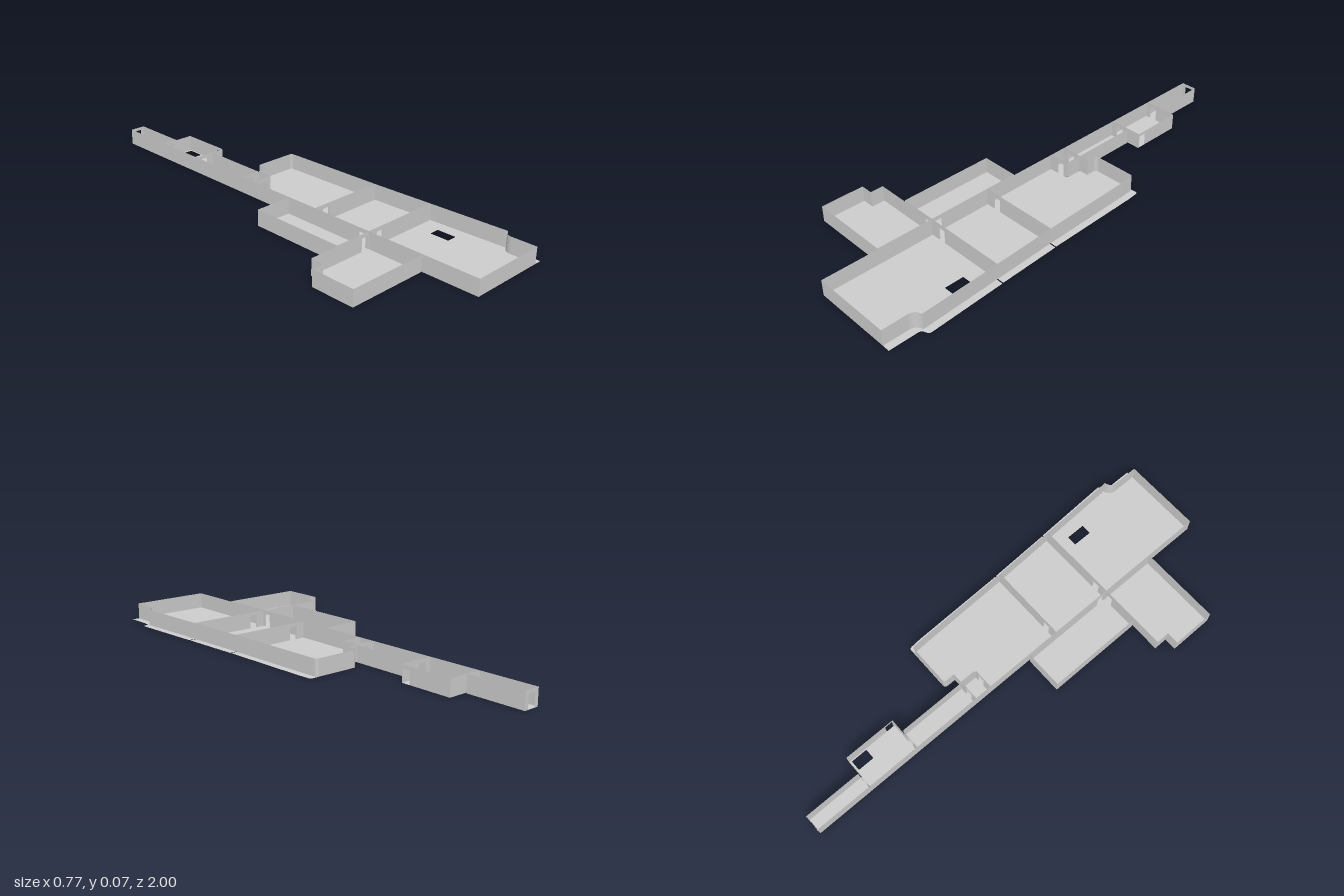
import * as THREE from 'three';

const H = 0.07;        // wall height
const GAP = 0.0025;    // half the thickness of a partition
const DOOR_H = 0.056;
const mat = new THREE.MeshStandardMaterial({ color: 0xcccccc, side: THREE.DoubleSide, flatShading: true });

export function createModel() {
  const model = new THREE.Group();

  const add = (geo, name, parent = model) => {
    const mesh = new THREE.Mesh(geo, mat);
    mesh.name = name;
    parent.add(mesh);
    return mesh;
  };
  const rect = (x0, z0, x1, z1) => [[x0, z0], [x1, z0], [x1, z1], [x0, z1]];
  const vectors = pts => pts.map(p => new THREE.Vector2(p[0], p[1]));

  // flat floor slab from an outline in x, z
  const floor = (name, pts, hole) => {
    const shape = new THREE.Shape(vectors(pts));
    if (hole) shape.holes.push(new THREE.Path(vectors(hole)));
    add(new THREE.ShapeGeometry(shape).rotateX(Math.PI / 2), name);
  };

  // one upright sheet in local x, y with optional door opening [start, end]
  const sheet = (length, door) => {
    let pts = [[0, 0]];
    if (door) pts.push([door[0], 0], [door[0], DOOR_H], [door[1], DOOR_H], [door[1], 0]);
    pts.push([length, 0], [length, H], [0, H]);
    return new THREE.ShapeGeometry(new THREE.Shape(vectors(pts)));
  };

  // wall from a to b; thick ones are two sheets joined by the door reveal
  const wall = (name, a, b, door, thick = false) => {
    const group = new THREE.Group();
    const length = Math.hypot(b[0] - a[0], b[1] - a[1]);
    group.name = name;
    group.position.set(a[0], 0, a[1]);
    group.rotation.y = -Math.atan2(b[1] - a[1], b[0] - a[0]);
    for (const off of thick ? [-GAP, GAP] : [0]) add(sheet(length, door), 'wallSheet', group).position.z = off;
    if (thick && door) {
      const w = door[1] - door[0], mid = (door[0] + door[1]) / 2;
      for (const x of door) {
        add(new THREE.PlaneGeometry(2 * GAP, DOOR_H).rotateY(Math.PI / 2), 'doorJamb', group)
          .position.set(x, DOOR_H / 2, 0);
      }
      for (const y of [0, DOOR_H]) {
        add(new THREE.PlaneGeometry(w, 2 * GAP).rotateX(-Math.PI / 2), y ? 'doorHead' : 'threshold', group)
          .position.set(mid, y, 0);
      }
    }
    model.add(group);
  };
  const run = (name, pts) => pts.slice(1).forEach((p, i) => wall(name, pts[i], p));

  // rounded corner as a short list of points
  const bend = (a, c, b) => new THREE.QuadraticBezierCurve(...vectors([a, c, b])).getPoints(6).map(p => [p.x, p.y]);

  const W = -0.026;      // west face of the main range
  const D = 0.034;       // door width
  const doorAt = c => [c - D / 2, c + D / 2];

  // floors of the main range, projecting beyond the east wall
  floor('frontHallFloor', [
    [W, 0.508], [0.365, 0.508], [0.38, 0.835],
    ...bend([0.38, 0.85], [0.375, 0.857], [0.365, 0.86]),
    ...bend([0.36, 0.862], [0.35, 0.865], [0.35, 0.88]), [0.35, 1], [W, 1],
  ], rect(0.24, 0.585, 0.285, 0.67));
  floor('middleHallFloor', [[W, 0.228], [0.353, 0.228], [0.364, 0.503], [W, 0.503]]);
  floor('backHallFloor', [
    [W, -0.128], [0.055, -0.128], [0.067, -0.14], [0.067, -0.205], [0.11, -0.205],
    ...bend([0.11, -0.24], [0.11, -0.257], [0.125, -0.257]),
    ...bend([0.33, -0.257], [0.34, -0.257], [0.34, -0.24]), [0.343, -0.2], [0.352, 0.223], [W, 0.223],
  ]);

  // floors of the passage and side rooms
  floor('vestibuleFloor', rect(W, -0.203, 0.062, -0.133));
  floor('passageFloor', rect(W, -0.507, 0.063, -0.208));
  floor('smallRoomFloor', rect(W, -0.743, 0.123, -0.512), rect(0.073, -0.733, 0.118, -0.66));
  floor('endPassageFloor', rect(W, -1, 0.043, -0.748));
  floor('westRoomFloor', rect(-0.196, 0.08, -0.031, 0.503));
  floor('southWestRoomFloor', [
    [-0.332, 0.508], [-0.031, 0.508], [-0.031, 0.756], [-0.386, 0.756], [-0.386, 0.566], [-0.332, 0.566],
  ]);

  // outer walls of the main range
  run('frontWall', [[W, 1], [0.318, 1]]);
  run('eastWall', [
    [0.318, 1], ...bend([0.318, 0.89], [0.32, 0.862], [0.35, 0.855]), [0.349, 0.835],
    [0.335, 0.505], [0.323, 0.225], [0.312, -0.2], ...bend([0.31, -0.24], [0.31, -0.256], [0.298, -0.256]),
    ...bend([0.125, -0.256], [0.11, -0.256], [0.11, -0.24]), [0.11, -0.205], [0.067, -0.205],
  ]);

  // long west wall, with a door into the west room
  wall('westWall', [W, -1], [W, 1], doorAt(1.475));
  wall('westRoomInnerWall', [-0.031, 0.08], [-0.031, 0.503], doorAt(0.395));
  wall('southWestRoomInnerWall', [-0.031, 0.508], [-0.031, 0.756]);
  for (const z of [0.475 - D / 2, 0.475 + D / 2]) {
    add(new THREE.PlaneGeometry(0.005, DOOR_H), 'westDoorJamb').position.set(-0.0285, DOOR_H / 2, z);
  }
  for (const y of [0, DOOR_H]) {
    add(new THREE.PlaneGeometry(0.005, D).rotateX(-Math.PI / 2), 'westDoorReveal').position.set(-0.0285, y, 0.475);
  }

  // cross walls, each with a door near the west side: [name, z, east end, door centre]
  for (const [name, z, east, c] of [
    ['frontPartition', 0.5055, 0.335, 0.03],
    ['middlePartition', 0.2255, 0.323, 0.03],
    ['vestibulePartition', -0.1305, 0.064, 0.03],
    ['passagePartition', -0.2055, 0.064, 0.017],
    ['smallRoomFrontWall', -0.5095, 0.063, 0.017],
    ['smallRoomBackWall', -0.7455, 0.043, 0.01],
  ]) wall(name, [W, z], [east, z], doorAt(c - W), true);

  // passage, vestibule and small room
  wall('vestibuleEastWall', [0.0645, -0.203], [0.0645, -0.133], null, true);
  run('passageEastWall', [[0.063, -0.507], [0.063, -0.208]]);
  run('smallRoomSideWall', [[0.063, -0.512], [0.123, -0.512]]);
  wall('smallRoomEastWall', [0.123, -0.512], [0.123, -0.743], [0.005, 0.039]);
  run('smallRoomRearReturn', [[0.123, -0.743], [0.043, -0.743]]);
  run('endPassageEastWall', [[0.043, -1], [0.043, -0.748]]);
  wall('endWall', [W, -1], [0.043, -1], doorAt(0.035));

  // west rooms
  run('westRoomOuterWall', [[-0.031, 0.08], [-0.196, 0.08], [-0.196, 0.503]]);
  wall('westPartition', [-0.196, 0.5055], [-0.031, 0.5055], doorAt(0.145), true);
  run('southWestRoomOuterWall', [
    [-0.196, 0.508], [-0.332, 0.508], [-0.332, 0.566], [-0.386, 0.566], [-0.386, 0.756], [-0.031, 0.756],
  ]);

  return model;
}
